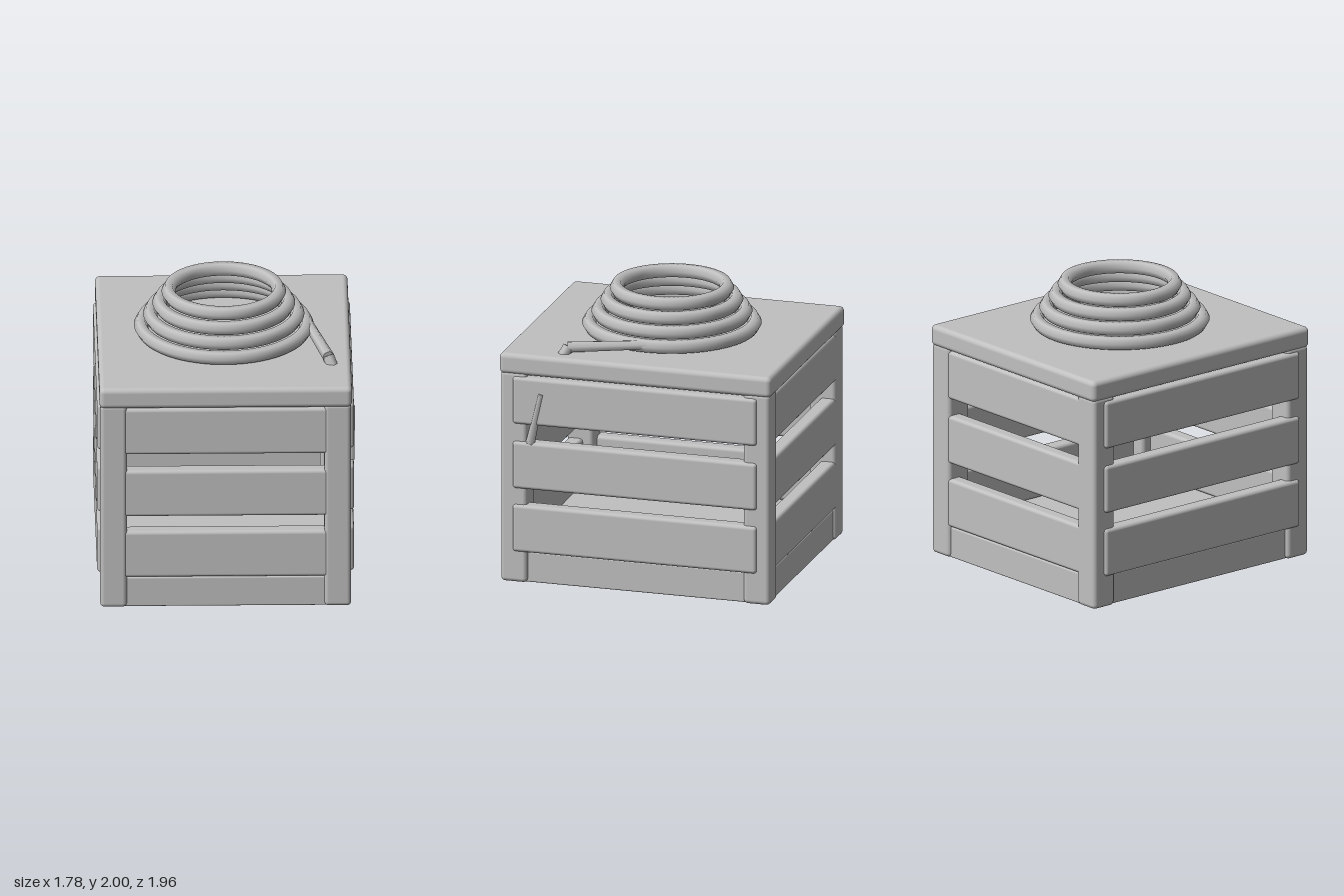
import * as THREE from 'three';
import { RoundedBoxGeometry } from 'three/addons/geometries/RoundedBoxGeometry.js';

const CX = -0.01; // crate centre in x

export function createModel() {
  const model = new THREE.Group();
  model.name = 'crateWithRope';
  const grey = new THREE.MeshStandardMaterial({ color: 0xc0c0c0 });
  grey.name = 'plain grey';

  const add = (name, geometry, x, y, z, parent = model) => {
    const mesh = new THREE.Mesh(geometry, grey);
    mesh.name = name;
    mesh.position.set(x, y, z);
    parent.add(mesh);
    return mesh;
  };
  const board = (name, w, h, d, x, y, z, r = 0.025) =>
    add(name, new RoundedBoxGeometry(w, h, d, 3, r), x, y, z);

  // lid and solid base
  board('lid', 1.74, 0.15, 1.96, CX, 1.577, 0, 0.035);
  board('base', 1.67, 0.22, 1.9, CX, 0.115, 0, 0.012);

  // corner posts
  for (const sx of [-1, 1]) {
    for (const sz of [-1, 1]) {
      board('cornerPost', 0.185, 1.52, 0.19, CX + sx * 0.772, 0.764, sz * 0.875, 0.03);
    }
  }

  // three rows of slats on all four sides
  for (const y of [0.4, 0.857, 1.323]) {
    for (const s of [-1, 1]) {
      board('endSlat', 1.5, 0.345, 0.11, CX, y, s * 0.909);
      board('sideSlat', 0.11, 0.34, 1.76, CX + s * 0.83, y, 0);
    }
  }

  // stacked rope coil, six-sided rope
  for (let i = 0; i < 4; i++) {
    const ring = new THREE.TorusGeometry(0.57 - i * 0.0635, 0.049, 6, 72);
    ring.rotateX(-Math.PI / 2);
    add('ropeCoil', ring, -0.008, 1.707 + i * 0.0835, 0);
  }

  // straight rope lengths, narrowing from r0 to r1
  const rope = (name, a, b, r0, r1) => {
    const from = new THREE.Vector3(...a), to = new THREE.Vector3(...b);
    const dir = to.clone().sub(from);
    const mid = from.clone().add(to).multiplyScalar(0.5);
    const mesh = add(name, new THREE.CylinderGeometry(r1, r0, dir.length(), 6), mid.x, mid.y, mid.z);
    mesh.quaternion.setFromUnitVectors(new THREE.Vector3(0, 1, 0), dir.normalize());
  };

  // loose rope tail bending down into the lid
  rope('ropeTail', [0.57, 1.715, 0], [0.705, 1.69, 0.53], 0.035, 0.042);
  rope('ropeTailTip', [0.703, 1.693, 0.522], [0.73, 1.63, 0.555], 0.042, 0.042);

  // rope end showing through the side slats
  rope('ropeEnd', [0.85, 1.02, 0.755], [0.868, 1.385, 0.672], 0.033, 0.02);

  return model;
}
